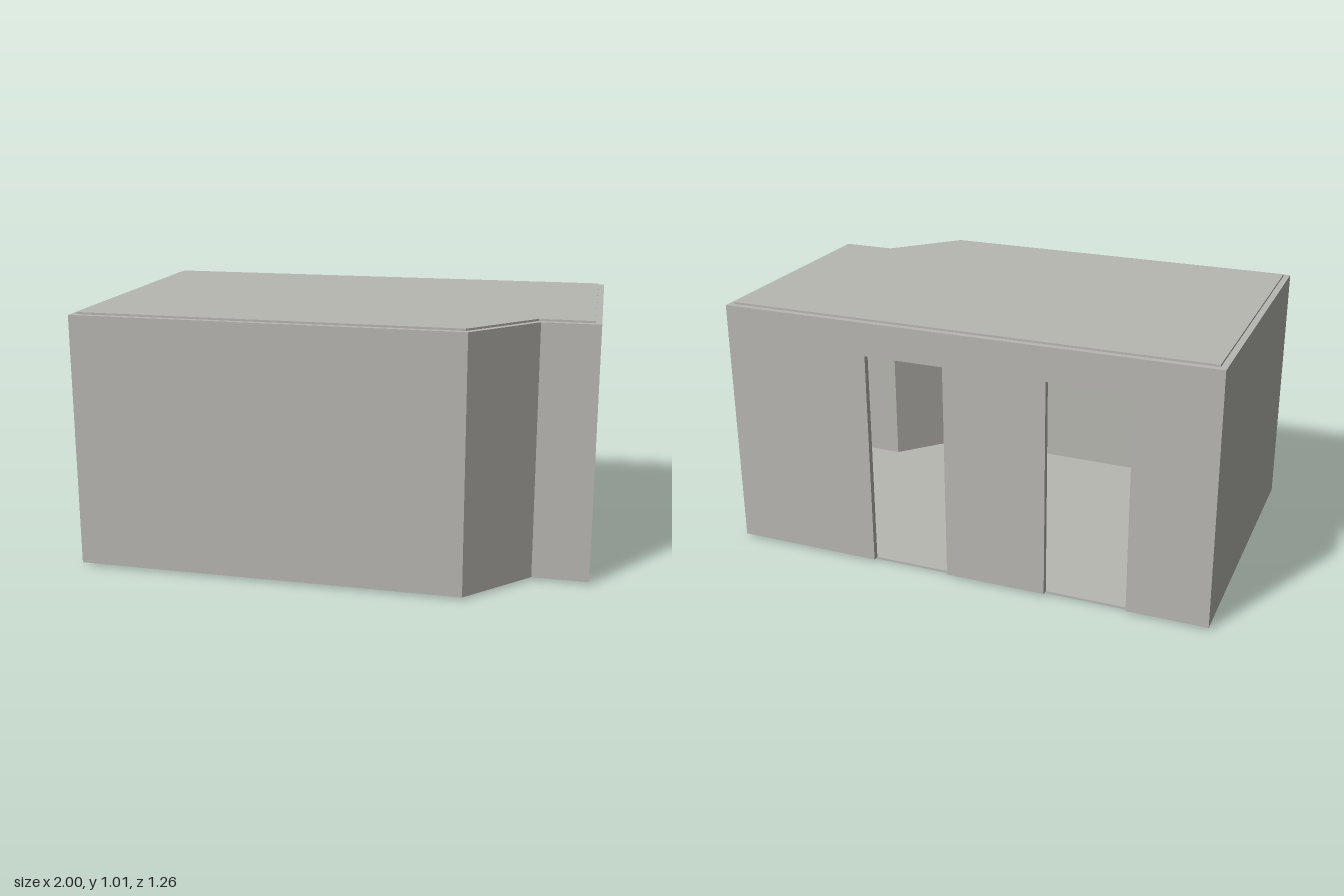
import * as THREE from 'three';

const THICK = 0.024, Y0 = 0.009, Y1 = 1.007, DOOR_TOP = 0.875;

// Plan outline (x, z), starting at the front wall and running towards +x
const outer = [[-0.975, 0.63], [0.55, 0.63], [0.78, 0.37], [1, 0.37], [0.965, -0.632], [-1, -0.6]]
  .map(([x, z]) => new THREE.Vector2(x, z));
const N = outer.length;
const at = (list, i) => list[(i + N) % N];
const along = i => at(outer, i + 1).clone().sub(at(outer, i)).normalize();
const outward = i => { const d = along(i); return new THREE.Vector2(-d.y, d.x); };

// Inner outline with mitred corners
const inner = outer.map((p, i) => {
  const a = outward(i - 1), b = outward(i);
  return p.clone().addScaledVector(a.clone().add(b), -THICK / (1 + a.dot(b)));
});

// One wall drawn in elevation with door notches, then bent onto the plan
function wallGeometry(i, doors) {
  const a = at(outer, i), length = a.distanceTo(at(outer, i + 1));
  const dir = along(i), out = outward(i);
  const shape = new THREE.Shape();
  shape.moveTo(0, Y0);
  for (const [u0, u1] of doors) {
    shape.lineTo(u0, Y0);
    shape.lineTo(u0, DOOR_TOP);
    shape.lineTo(u1, DOOR_TOP);
    shape.lineTo(u1, Y0);
  }
  shape.lineTo(length, Y0);
  shape.lineTo(length, Y1);
  shape.lineTo(0, Y1);
  shape.closePath();

  const geometry = new THREE.ExtrudeGeometry(shape, { depth: 1, bevelEnabled: false });
  const pos = geometry.attributes.position;
  for (let k = 0; k < pos.count; k++) {
    const u = pos.getX(k), isInner = pos.getZ(k) < 0.5;
    let p = a.clone().addScaledVector(dir, u);
    if (isInner) {
      if (u < 1e-4) p = at(inner, i);
      else if (u > length - 1e-4) p = at(inner, i + 1);
      else p.addScaledVector(out, -THICK);
    }
    pos.setXYZ(k, p.x, pos.getY(k), p.y);
  }
  geometry.computeVertexNormals();
  return geometry;
}

// Flat slab following the inner outline
function slabGeometry(y, height) {
  const shape = new THREE.Shape(inner.map(p => new THREE.Vector2(p.x, -p.y)));
  return new THREE.ExtrudeGeometry(shape, { depth: height, bevelEnabled: false })
    .rotateX(-Math.PI / 2).translate(0, y, 0);
}

export function createModel() {
  const group = new THREE.Group();
  group.name = 'room';
  const plaster = new THREE.MeshStandardMaterial({ color: 0xb8b7b2 });
  plaster.name = 'warm grey plaster';
  const add = (name, geometry) => {
    const mesh = new THREE.Mesh(geometry, plaster);
    mesh.name = name;
    group.add(mesh);
  };

  // Walls, with door openings as distances along each wall
  const walls = [
    ['frontWall', []],
    ['angledWall', []],
    ['recessWall', []],
    ['leftWall', [[0.025, 0.26]]],
    ['backWall', [[0.6, 0.92], [1.325, 1.65]]],
    ['rightWall', []],
  ];
  walls.forEach(([name, doors], i) => add(name, wallGeometry(i, doors)));

  // Floor and ceiling
  add('floor', slabGeometry(0, Y0));
  add('ceiling', slabGeometry(Y1, 0.008));
  return group;
}
